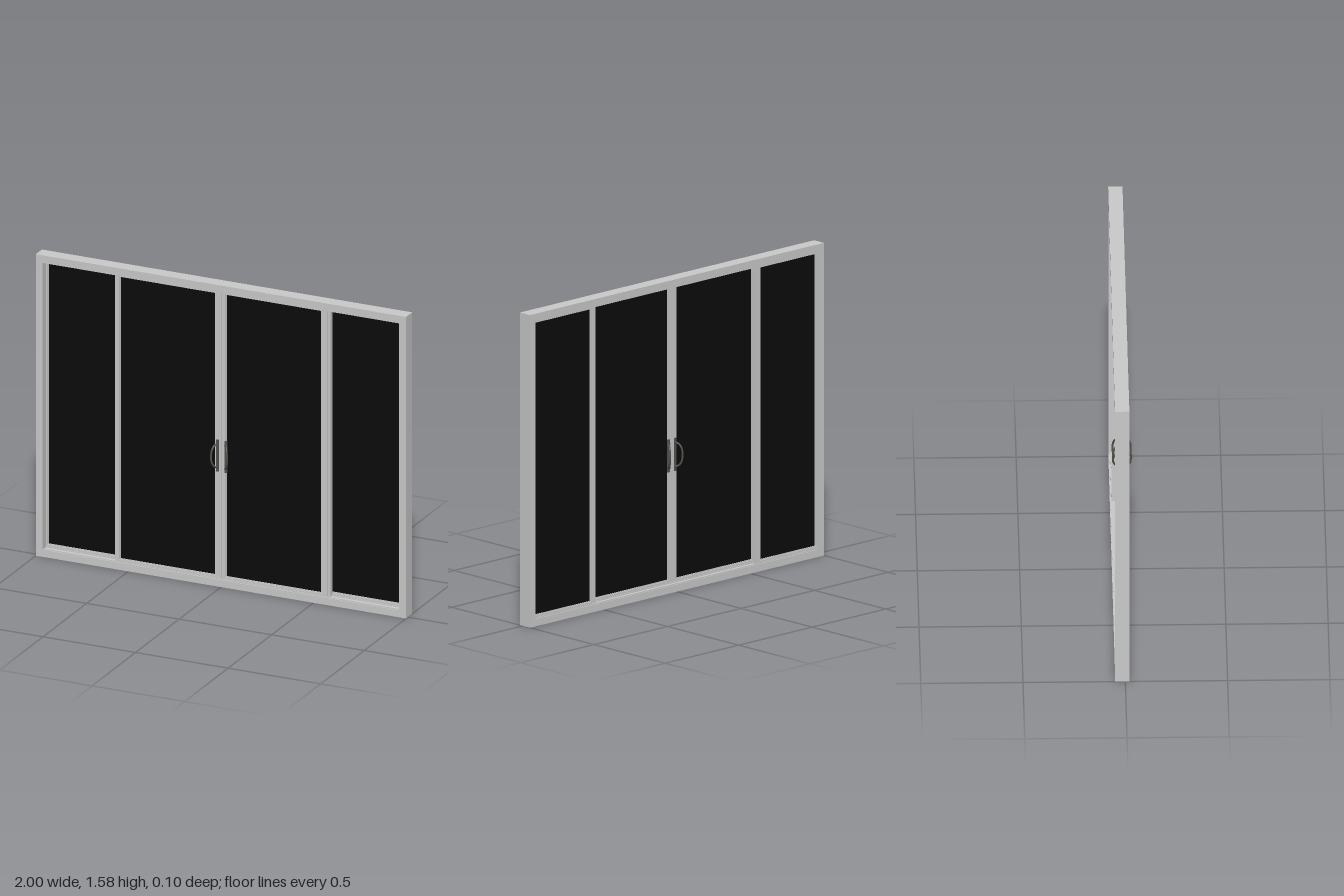
import * as THREE from 'three';

const W = 2, H = 1.58, BORDER = 0.037;
const Z_FRONT = 0.02, Z_BACK = -0.05;

const aluminium = new THREE.MeshStandardMaterial({ color: 0xcacaca });
aluminium.name = 'light grey aluminium';
const glass = new THREE.MeshStandardMaterial({ color: 0x0b0b0b });
glass.name = 'black glass';
const handleMetal = new THREE.MeshStandardMaterial({ color: 0x55534f });
handleMetal.name = 'dark grey metal';

function add(parent, name, geometry, material) {
  const mesh = new THREE.Mesh(geometry, material);
  mesh.name = name;
  parent.add(mesh);
  return mesh;
}

// Box given by its limits on each axis
function box(parent, name, [x0, x1], [y0, y1], [z0, z1], material) {
  const mesh = add(parent, name, new THREE.BoxGeometry(x1 - x0, y1 - y0, z1 - z0), material);
  mesh.position.set((x0 + x1) / 2, (y0 + y1) / 2, (z0 + z1) / 2);
  return mesh;
}

// Rectangular ring: an outer rectangle with a rectangular opening, extruded in z
function ring(parent, name, outer, inner, [z0, z1], material) {
  const trace = (path, [x0, x1, y0, y1]) =>
    path.moveTo(x0, y0).lineTo(x1, y0).lineTo(x1, y1).lineTo(x0, y1).closePath();
  const shape = trace(new THREE.Shape(), outer);
  shape.holes.push(trace(new THREE.Path(), inner));
  const geometry = new THREE.ExtrudeGeometry(shape, { depth: z1 - z0, bevelEnabled: false });
  geometry.translate(0, 0, z0);
  return add(parent, name, geometry, material);
}

// Glazed panel: stiles and rails, a thinner glazing bead, and the pane
function panel(name, x0, x1, [left, right], z0, z1) {
  const group = new THREE.Group();
  group.name = name;
  const y0 = BORDER, y1 = H - BORDER, bead = 0.005;
  const pane = [x0 + left, x1 - right, 0.056, 1.53];
  const edge = [pane[0] - bead, pane[1] + bead, pane[2] - bead, pane[3] + bead];
  ring(group, 'panelFrame', [x0, x1, y0, y1], edge, [z0, z1], aluminium);
  ring(group, 'glazingBead', edge, pane, [z0 + 0.004, z1 - 0.004], aluminium);
  const mid = (z0 + z1) / 2;
  box(group, 'pane', [pane[0], pane[1]], [pane[2], pane[3]], [mid - 0.003, mid + 0.003], glass);
  return group;
}

// Pull handle: back plate, bowed grip and two mounting feet, facing +z and leaning to +x
function pullHandle(name) {
  const group = new THREE.Group();
  group.name = name;
  box(group, 'backPlate', [-0.007, 0.007], [-0.083, 0.083], [0, 0.004], handleMetal);
  const points = [
    [0, -0.06, 0.002], [0.009, -0.055, 0.016], [0.017, -0.034, 0.029], [0.02, 0, 0.033],
    [0.017, 0.034, 0.029], [0.009, 0.055, 0.016], [0, 0.06, 0.002],
  ].map((p) => new THREE.Vector3(...p));
  add(group, 'grip', new THREE.TubeGeometry(new THREE.CatmullRomCurve3(points), 40, 0.005, 10), handleMetal);
  for (const y of [-0.06, 0.06]) {
    const foot = add(group, 'foot', new THREE.CylinderGeometry(0.006, 0.007, 0.008, 16), handleMetal);
    foot.rotation.x = Math.PI / 2;
    foot.position.set(0, y, 0.006);
  }
  return group;
}

export function createModel() {
  const model = new THREE.Group();
  model.name = 'slidingPatioDoor';

  // Outer frame
  const inX = W / 2 - BORDER;
  ring(model, 'outerFrame', [-W / 2, W / 2, 0, H], [-inX, inX, BORDER, H - BORDER],
    [Z_BACK, Z_FRONT], aluminium);

  // Guide ribs along the sill and the head
  for (const z of [-0.045, -0.016, 0.014]) {
    box(model, 'sillTrack', [-inX, inX], [BORDER, BORDER + 0.005], [z - 0.0015, z + 0.0015], aluminium);
    box(model, 'headTrack', [-inX, inX], [H - BORDER - 0.005, H - BORDER], [z - 0.0015, z + 0.0015], aluminium);
  }

  // Fixed outer panels on the rear track, sliding inner panels on the front track
  const fixedZ = [-0.042, -0.02], slideZ = [-0.012, 0.01];
  model.add(
    panel('fixedPanelRight', -inX, -0.548, [0.012, 0.03], ...fixedZ),
    panel('fixedPanelLeft', 0.548, inX, [0.03, 0.012], ...fixedZ),
    panel('slidingPanelRight', -0.57, -0.001, [0.022, 0.038], ...slideZ),
    panel('slidingPanelLeft', 0.001, 0.57, [0.022, 0.036], ...slideZ),
  );

  // Interlocks closing the gap between the tracks, and the seal where the doors meet
  for (const s of [-1, 1]) {
    const xs = [s * 0.57, s * 0.582].sort((a, b) => a - b);
    box(model, 'interlock', xs, [BORDER, H - BORDER], [-0.021, 0.002], aluminium);
  }
  box(model, 'meetingSeal', [-0.006, 0.006], [BORDER, H - BORDER], [-0.009, 0.007], aluminium);

  // Handles on both faces of both sliding doors, bowing away from the centre
  for (const s of [-1, 1]) {
    const front = pullHandle('frontHandle');
    front.position.set(s * 0.023, 0.683, slideZ[1]);
    front.scale.x = s;
    const back = pullHandle('backHandle');
    back.position.set(s * 0.023, 0.683, slideZ[0]);
    back.scale.x = -s;
    back.rotation.y = Math.PI;
    model.add(front, back);
  }
  return model;
}
